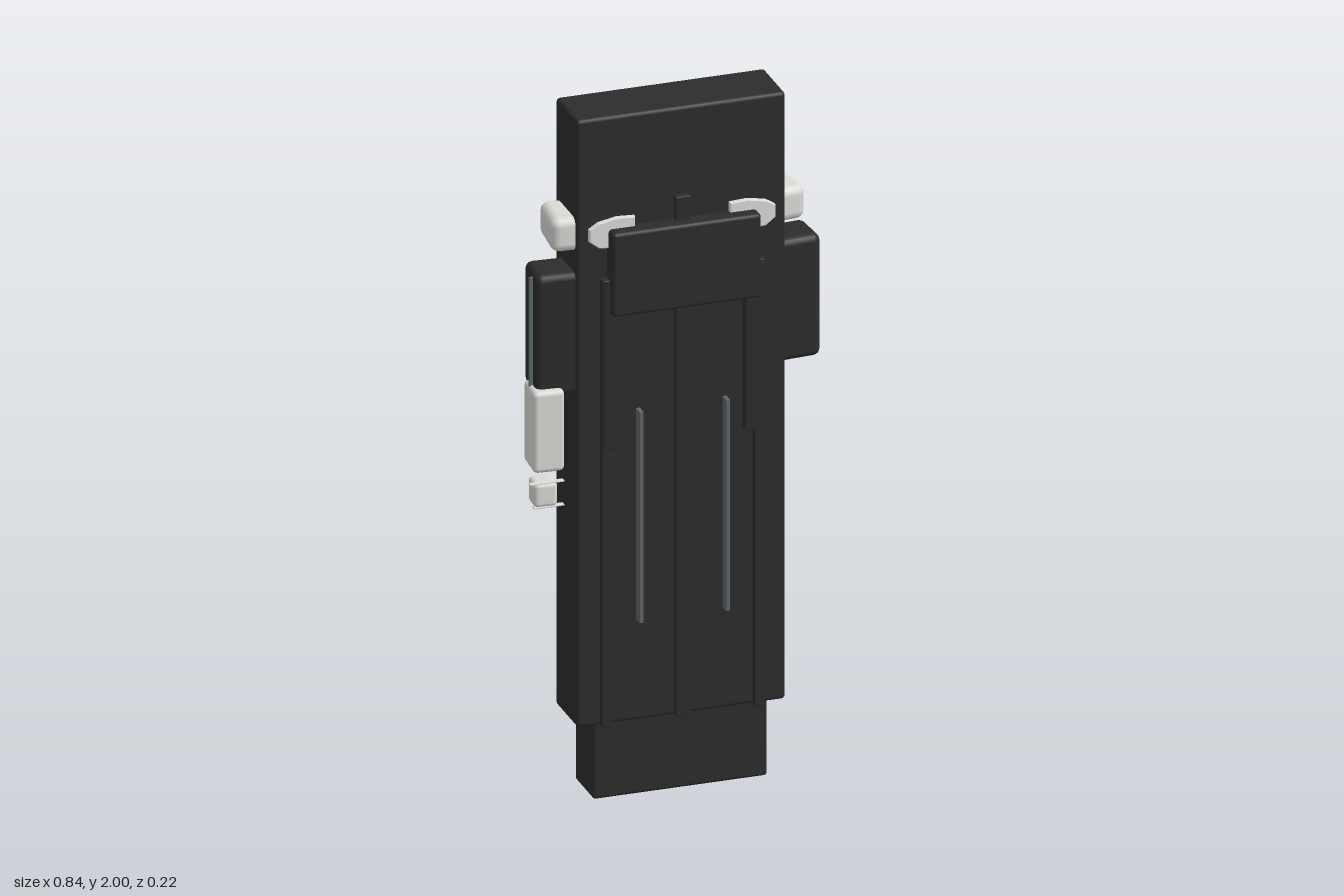
import * as THREE from 'three';
import { RoundedBoxGeometry } from 'three/addons/geometries/RoundedBoxGeometry.js';

export function createModel() {
  const model = new THREE.Group();
  model.name = 'slabFigure';
  const mat = (name, color) => {
    const m = new THREE.MeshStandardMaterial({ color });
    m.name = name;
    return m;
  };
  const charcoal = mat('charcoal', 0x2c2c2c);
  const offWhite = mat('offWhite', 0xdcdad7);
  const slate = mat('slateGrey', 0x5c656c);

  // Softened box given by its extents, optionally turned about its own axes
  function block(name, material, [x0, x1], [y0, y1], [z0, z1], radius = 0.01, ry = 0, rz = 0) {
    const mesh = new THREE.Mesh(new RoundedBoxGeometry(x1 - x0, y1 - y0, z1 - z0, 2, radius), material);
    mesh.position.set((x0 + x1) / 2, (y0 + y1) / 2, (z0 + z1) / 2);
    mesh.rotation.set(0, ry, rz);
    mesh.name = name;
    model.add(mesh);
    return mesh;
  }

  // Main slab and foot block
  block('body', charcoal, [-0.284, 0.311], [0.22, 2], [-0.113, 0.06], 0.011);
  block('base', charcoal, [-0.235, 0.262], [0, 0.26], [-0.095, 0.054], 0.01);

  // Chest plate and centre rib
  block('chestPlate', charcoal, [-0.198, 0.225], [1.43, 1.675], [0.05, 0.11], 0.01);
  block('centreRib', charcoal, [-0.008, 0.034], [0.22, 1.745], [0.04, 0.08], 0.003);

  // Mirrored details about the slab's centre line
  const cx = 0.0135;
  for (const s of [-1, 1]) {
    const side = s > 0 ? 'left' : 'right';
    const span = (a, b) => [cx + Math.min(s * a, s * b), cx + Math.max(s * a, s * b)];
    block(side + 'Strap', charcoal, span(0.175, 0.228), [1.035, 1.53], [0.04, 0.083], 0.003);
    block(side + 'EdgeRib', charcoal, span(0.203, 0.232), [0.22, 1.53], [0.04, 0.078], 0.003);
    block(side + 'Stripe', slate, span(0.117, 0.129), [0.515, 1.135], [0.055, 0.09], 0.002);

    // Collar flap peeking out beside the chest plate
    const flap = new THREE.Shape([
      [0.138, 1.675], [0.138, 1.7], [0.185, 1.703], [0.238, 1.693], [0.262, 1.678],
      [0.262, 1.645], [0.236, 1.625], [0.205, 1.622], [0.18, 1.65],
    ].map(([x, y]) => new THREE.Vector2(cx + s * x, y)));
    const collar = new THREE.Mesh(new THREE.ExtrudeGeometry(flap, {
      depth: 0.02, bevelThickness: 0.004, bevelSize: 0.003, bevelSegments: 2,
    }), offWhite);
    collar.position.z = 0.049;
    collar.name = side + 'Collar';
    model.add(collar);

    // Shoulder caps and upper arms, turned slightly outward
    block(side + 'Shoulder', offWhite, span(0.2, 0.356), [1.611, 1.71], [-0.1, 0.052], 0.025, s * 0.1);
    const drop = s < 0 ? 0.01 : 0;
    block(side + 'UpperArm', charcoal, span(0.25, 0.402), [1.203 - drop, 1.56 - drop], [-0.08, 0.048], 0.02, s * 0.07);
  }

  // Single forearm and hand on the right
  block('forearm', offWhite, [-0.404, -0.316], [0.982, 1.22], [-0.04, 0.066], 0.014, -0.07);
  block('hand', offWhite, [-0.405, -0.338], [0.882, 0.955], [0.0, 0.069], 0.014, -0.07);

  // Thin cuffs above and below the hand
  block('upperCuff', offWhite, [-0.42, -0.322], [0.953, 0.957], [0.054, 0.07], 0.001);
  block('lowerCuff', offWhite, [-0.408, -0.322], [0.883, 0.887], [0.054, 0.07], 0.001);

  // Narrow fin along the outside of the right arm
  block('armFin', slate, [-0.4, -0.385], [1.21, 1.535], [-0.002, 0.006], 0.001);

  return model;
}
